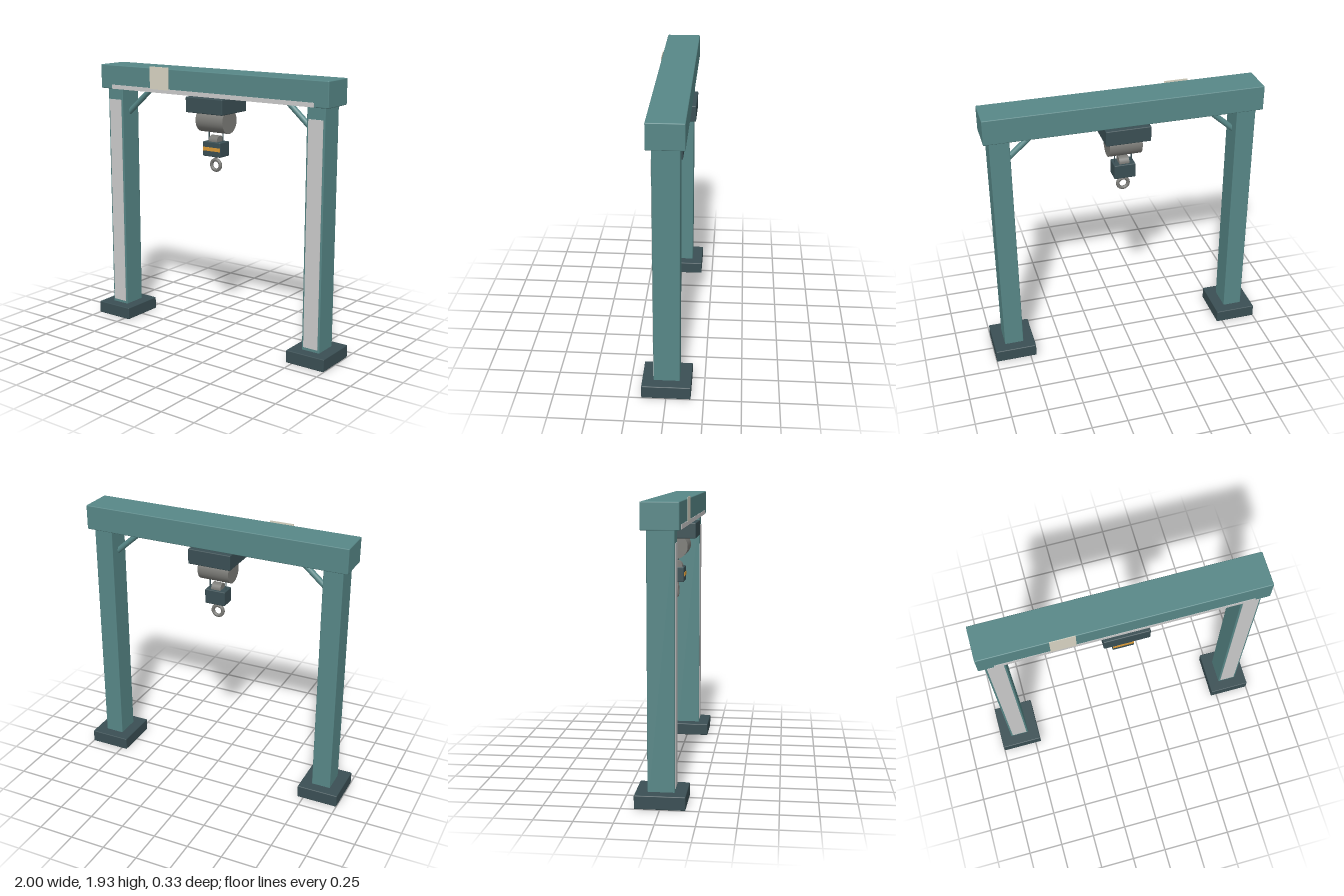
import * as THREE from 'three';
import { RoundedBoxGeometry } from 'three/addons/geometries/RoundedBoxGeometry.js';

const paint = (color) => new THREE.MeshStandardMaterial({ color });

export function createModel() {
  const crane = new THREE.Group();
  crane.name = 'gantryCrane';

  const teal = paint(0x578787);
  const dark = paint(0x3a4f54);
  const steel = paint(0x7c7c78);
  const grey = paint(0xcccccc);
  const beige = paint(0xd9d5c4);
  const orange = paint(0xde9c36);

  const add = (name, geometry, material, x, y, z = 0) => {
    const mesh = new THREE.Mesh(geometry, material);
    mesh.name = name;
    mesh.position.set(x, y, z);
    crane.add(mesh);
    return mesh;
  };
  const block = (name, w, h, d, material, x, y, z = 0) =>
    add(name, new RoundedBoxGeometry(w, h, d, 2, 0.006), material, x, y, z);
  const panel = (name, w, h, d, material, x, y, z) =>
    add(name, new THREE.BoxGeometry(w, h, d), material, x, y, z);

  // Cylinder between two points in the z = 0 plane
  const rod = (name, x1, y1, x2, y2, r, material, sides = 16) => {
    const dir = new THREE.Vector3(x2 - x1, y2 - y1, 0);
    const mesh = add(name, new THREE.CylinderGeometry(r, r, dir.length(), sides),
      material, (x1 + x2) / 2, (y1 + y2) / 2);
    mesh.quaternion.setFromUnitVectors(new THREE.Vector3(0, 1, 0), dir.normalize());
    return mesh;
  };

  // Feet, columns, column panels and corner braces
  for (const s of [-1, 1]) {
    const side = s > 0 ? 'left' : 'right';
    block(side + 'Foot', 0.294, 0.09, 0.328, dark, s * 0.853, 0.045);
    block(side + 'Column', 0.136, 1.74, 0.176, teal, s * 0.853, 0.89);
    panel(side + 'ColumnPanel', 0.11, 1.56, 0.004, grey, s * 0.853, 0.89, 0.089);
    rod(side + 'Brace', s * 0.81, 1.56, s * 0.58, 1.76, 0.02, teal);
  }

  // Top beam with its front rail strip and plate
  block('beam', 1.92, 0.174, 0.242, teal, 0, 1.838);
  panel('railStrip', 1.71, 0.03, 0.004, grey, 0, 1.767, 0.122);
  panel('plate', 0.168, 0.16, 0.004, beige, -0.408, 1.855, 0.123);

  // Trolley and hoist drum
  block('trolley', 0.312, 0.108, 0.292, dark, 0, 1.694);
  rod('hoistDrum', -0.115, 1.58, 0.115, 1.58, 0.086, steel, 32);

  // Hoist ropes and pulley
  for (const s of [-1, 1]) rod('rope', s * 0.06, 1.4, s * 0.06, 1.56, 0.005, dark, 8);
  rod('pulley', -0.035, 1.435, 0.035, 1.435, 0.04, steel, 24);

  // Hook block, warning band and lifting ring
  block('hookBlock', 0.15, 0.104, 0.11, dark, 0, 1.38);
  panel('warningBand', 0.144, 0.026, 0.004, orange, 0, 1.381, 0.056);
  rod('ringShank', 0, 1.3, 0, 1.34, 0.012, steel, 12);
  add('liftingRing', new THREE.TorusGeometry(0.0375, 0.0125, 12, 32), steel, 0, 1.262);

  return crane;
}
